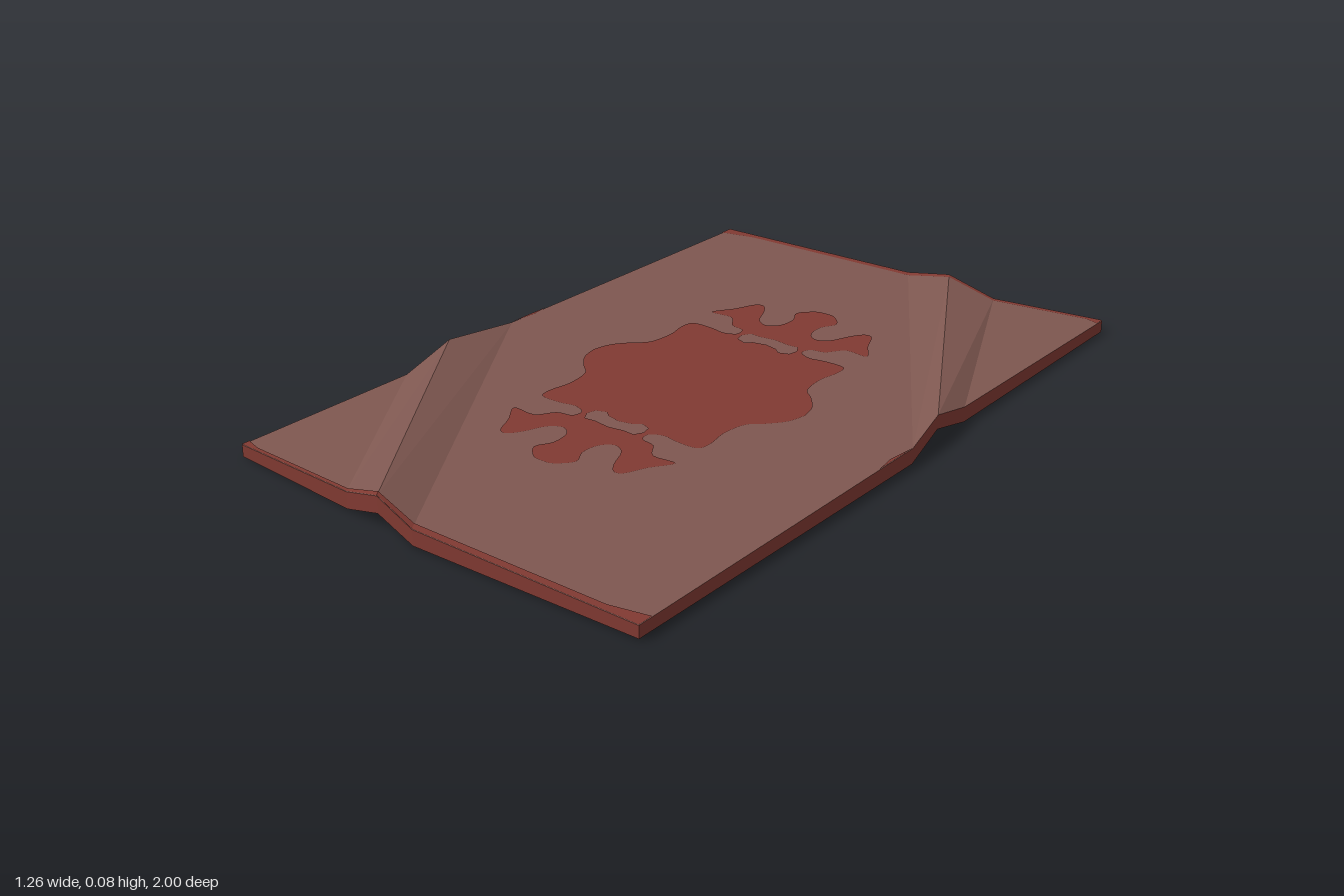
import * as THREE from 'three';

const top = new THREE.MeshStandardMaterial({ color: 0x7e5750 });
top.name = 'dustyBrown';
const red = new THREE.MeshStandardMaterial({ color: 0x813a32 });
red.name = 'rustRed';

// Rug outline, clockwise from the back right corner of the model: x, z, underside y, top y
const outline = [
  [-0.63, -0.96, 0.003, 0.034], [0, -0.96, 0.003, 0.043], [0.14, -0.95, 0.035, 0.072], [0.29, -0.94, 0, 0.04],
  [0.59, -1, 0, 0.032], [0.6, -0.28, 0, 0.04], [0.61, -0.14, 0.035, 0.072], [0.63, 0, 0.003, 0.043],
  [0.63, 1, 0.003, 0.034], [0, 1, 0.003, 0.043], [-0.12, 0.985, 0.037, 0.08], [-0.24, 0.965, 0.002, 0.045],
  [-0.63, 0.93, 0.002, 0.033], [-0.6, 0.42, 0.002, 0.045], [-0.615, 0.25, 0.037, 0.08], [-0.63, 0, 0.003, 0.043],
];
const low = outline.map(([x, z, y]) => new THREE.Vector3(x, y, z));
const high = outline.map(([x, z, , y]) => new THREE.Vector3(x, y, z));

// Flat panels between the fold lines, as outline indices
const panels = [
  [15, 0, 1], [1, 7, 9, 15], [7, 8, 9],
  [1, 2, 6, 7], [2, 3, 5, 6], [3, 4, 5],
  [9, 10, 14, 15], [10, 11, 13, 14], [11, 12, 13],
];

// Flat-shaded mesh from convex polygons
function polyMesh(name, polys, material) {
  const pts = [];
  for (const p of polys) {
    for (let i = 1; i < p.length - 1; i++) pts.push(p[0], p[i], p[i + 1]);
  }
  const geo = new THREE.BufferGeometry().setFromPoints(pts);
  geo.computeVertexNormals();
  const mesh = new THREE.Mesh(geo, material);
  mesh.name = name;
  return mesh;
}

// Border ribbon on the top: each fold point is inset along its own fold line
function border(name, edge, partners) {
  const outer = edge.map((i) => high[i].clone());
  const inset = edge.map((i, k) => high[partners[k]].clone().sub(high[i]).multiplyScalar(0.021));
  const n = edge.length;
  const rows = outer.map((o, k) => [o, o.clone().add(inset[k])]);
  // Wider corner pieces
  for (const [c, next] of [[0, 1], [n - 1, n - 2]]) {
    rows[c][1] = outer[c].clone().addScaledVector(inset[c], 2);
  }
  const extra = (c, next) => {
    const o = outer[c].clone().lerp(outer[next], 0.14);
    return [o, o.clone().add(inset[next])];
  };
  rows.splice(n - 1, 0, extra(n - 1, n - 2));
  rows.splice(1, 0, extra(0, 1));
  const quads = [];
  for (let k = 0; k < rows.length - 1; k++) {
    quads.push([rows[k][0], rows[k][1], rows[k + 1][1], rows[k + 1][0]]);
  }
  const mesh = polyMesh(name, quads, red);
  mesh.position.y = 0.002;
  return mesh;
}

// Medallion: one quarter of the silhouette, mirrored four ways
function medallion() {
  const quarter = new THREE.SplineCurve([
    [0, 0.57], [0.03, 0.565], [0.065, 0.525], [0.045, 0.48], [0.05, 0.43], [0.08, 0.405], [0.115, 0.425],
    [0.14, 0.48], [0.165, 0.512], [0.19, 0.505], [0.215, 0.45], [0.25, 0.392], [0.185, 0.393], [0.15, 0.35],
    [0.11, 0.34], [0.105, 0.31], [0.14, 0.295], [0.18, 0.302], [0.24, 0.3], [0.25, 0.26], [0.24, 0.2],
    [0.25, 0.13], [0.285, 0.095], [0.32, 0.05], [0.333, 0],
  ].map((p) => new THREE.Vector2(...p))).getPoints(96);
  const flip = (pts, sx, sy) => pts.map((p) => new THREE.Vector2(p.x * sx, p.y * sy));
  const shape = new THREE.Shape([
    ...quarter,
    ...flip(quarter, 1, -1).reverse().slice(1),
    ...flip(quarter, -1, -1).slice(1),
    ...flip(quarter, -1, 1).reverse().slice(1, -1),
  ]);
  // Scalloped opening near each end
  const half = [
    [0, 0.337], [0.045, 0.33], [0.075, 0.333], [0.088, 0.31], [0.082, 0.285], [0.055, 0.275], [0.037, 0.29], [0, 0.298],
  ].map((p) => new THREE.Vector2(...p));
  const hole = [...half, ...flip(half, -1, 1).reverse().slice(1, -1)];
  for (const s of [1, -1]) shape.holes.push(new THREE.Path(flip(hole, 1, s)));
  const mesh = new THREE.Mesh(new THREE.ShapeGeometry(shape), red);
  mesh.name = 'medallion';
  mesh.rotation.x = -Math.PI / 2;
  mesh.position.set(-0.003, 0.045, 0.01);
  return mesh;
}

export function createModel() {
  const rug = new THREE.Group();
  rug.name = 'foldedRug';

  // Pile, backing and cut edge
  rug.add(polyMesh('rugTop', panels.map((p) => p.map((i) => high[i]).reverse()), top));
  rug.add(polyMesh('rugUnderside', panels.map((p) => p.map((i) => low[i])), red));
  rug.add(polyMesh('rugEdge', outline.map((_, i) => {
    const j = (i + 1) % outline.length;
    return [low[i], high[i], high[j], low[j]];
  }), red));

  // Painted borders along both short ends
  rug.add(border('backBorder', [0, 1, 2, 3, 4], [15, 7, 6, 5, 5]));
  rug.add(border('frontBorder', [8, 9, 10, 11, 12], [7, 15, 14, 13, 13]));

  // Small slivers of border on the long sides
  for (const [name, a, b, c] of [['rightSliver', 15, 0, 1], ['leftSliver', 7, 8, 9]]) {
    const end = high[a].clone().lerp(high[b], 0.14);
    const mid = high[a].clone().lerp(high[b], 0.07).lerp(high[c], 0.014);
    const sliver = polyMesh(name, [[high[a], mid, end]], red);
    sliver.position.y = 0.002;
    rug.add(sliver);
  }

  rug.add(medallion());
  return rug;
}
